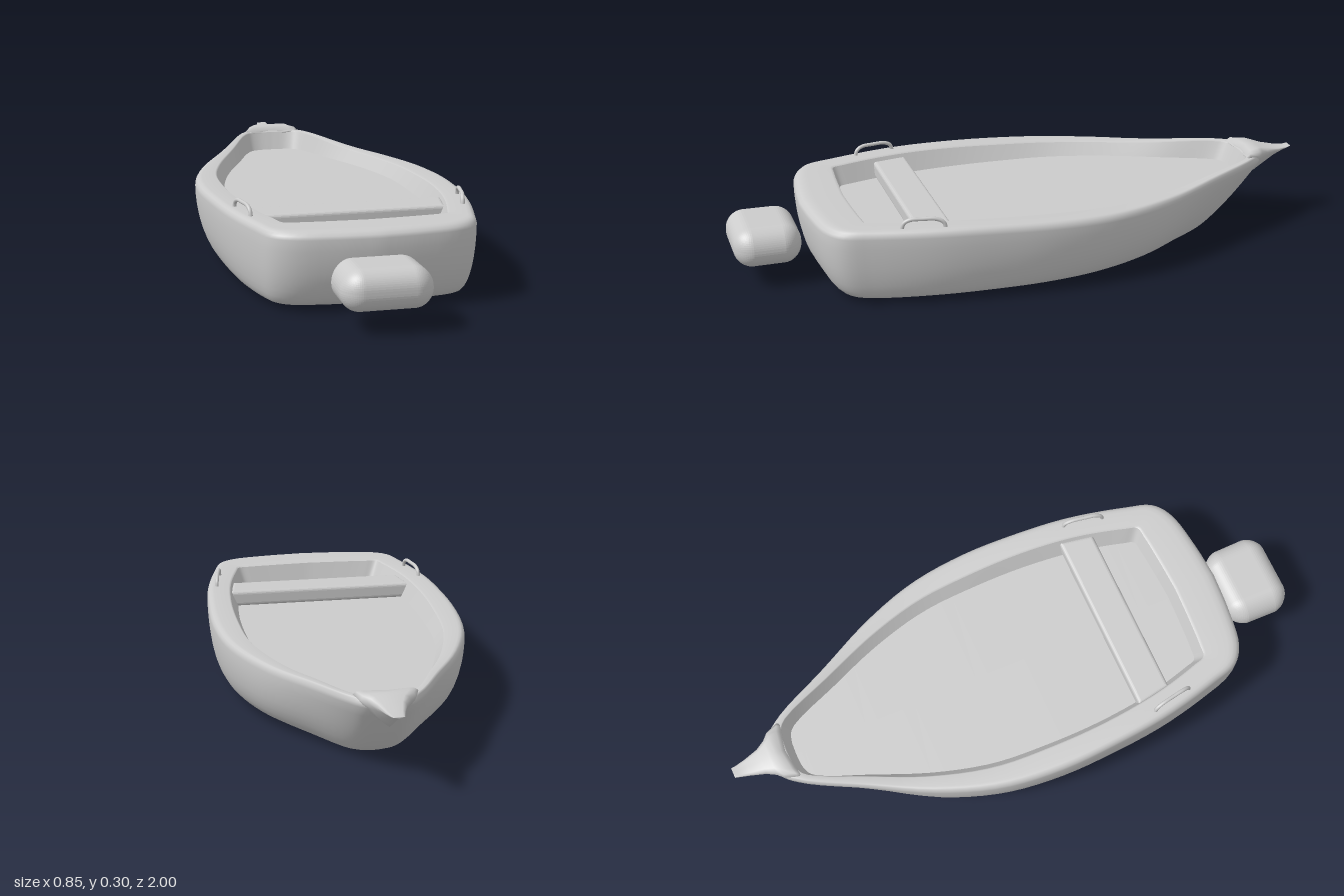
import * as THREE from 'three';
import { RoundedBoxGeometry } from 'three/addons/geometries/RoundedBoxGeometry.js';

const material = new THREE.MeshStandardMaterial({ color: 0xcccccc, side: THREE.DoubleSide });
const HALF = 56; // samples per half outline

function add(group, geometry, name) {
  const mesh = new THREE.Mesh(geometry, material);
  mesh.name = name;
  group.add(mesh);
}

// Half outline [x, z] from bow to stern, mirrored into a closed ring
function outline(points) {
  const curve = new THREE.CatmullRomCurve3(points.map(([x, z]) => new THREE.Vector3(x, 0, z)), false, 'centripetal');
  const right = [];
  for (let i = 0; i <= HALF; i++) right.push(curve.getPoint(i / HALF));
  const left = right.slice(1, -1).reverse().map((p) => new THREE.Vector3(-p.x, 0, p.z));
  return [...right, ...left];
}

// Skin between rings of equal point count
function loft(rings) {
  const n = rings[0].length;
  const index = [];
  for (let r = 0; r < rings.length - 1; r++) {
    for (let i = 0; i < n; i++) {
      const a = r * n + i, b = r * n + (i + 1) % n;
      index.push(a, a + n, b, b, a + n, b + n);
    }
  }
  const g = new THREE.BufferGeometry().setFromPoints(rings.flat());
  g.setIndex(index);
  g.computeVertexNormals();
  return g;
}

const bottom = outline([[0, -0.64], [0.045, -0.635], [0.085, -0.605], [0.17, -0.46], [0.265, -0.28], [0.32, -0.12], [0.345, 0.04],
  [0.35, 0.2], [0.34, 0.4], [0.31, 0.57], [0.285, 0.63], [0.24, 0.66], [0.12, 0.67], [0, 0.675]]);
const outer = outline([[0, -0.87], [0.065, -0.86], [0.12, -0.8], [0.22, -0.61], [0.33, -0.4], [0.4, -0.2], [0.425, 0],
  [0.42, 0.2], [0.4, 0.4], [0.355, 0.6], [0.325, 0.69], [0.265, 0.735], [0.13, 0.76], [0, 0.77]]);
const inner = outline([[0, -0.81], [0.06, -0.805], [0.098, -0.785], [0.185, -0.6], [0.27, -0.4], [0.325, -0.2], [0.34, 0],
  [0.338, 0.2], [0.315, 0.4], [0.275, 0.56], [0.26, 0.6], [0.22, 0.607], [0.11, 0.615], [0, 0.62]]);

// Sheer line: level aft, dipping ahead of midships, rising at the bow
const rimY = (z) => 0.265 - 0.02 * THREE.MathUtils.smoothstep(-z, -0.4, 0.35) + 0.02 * THREE.MathUtils.smoothstep(-z, 0.45, 0.82);
const CHINE = 0.016, FLOOR = 0.197;

function buildHull() {
  const hull = new THREE.Group();
  hull.name = 'hull';

  // Shallow curved bottom, from the keel line out to the chine
  const bottomRings = [0, 0.3, 0.6, 0.85, 1].map((k) => bottom.map((p) =>
    new THREE.Vector3(p.x * k, 0.002 + (CHINE - 0.002) * k * k, p.z * (0.94 + 0.06 * k))));
  add(hull, loft(bottomRings), 'hullBottom');

  // Rounded sides; the blunt bow rakes forward more evenly
  const rings = [];
  for (const u of [0, 0.03, 0.08, 0.15, 0.25, 0.38, 0.52, 0.68, 0.84, 1]) {
    rings.push(bottom.map((b, i) => {
      const o = outer[i];
      const bow = THREE.MathUtils.smoothstep(-o.z, 0.35, 0.85);
      const f = THREE.MathUtils.lerp(Math.sqrt(1 - (1 - u) ** 2), u ** 0.75, bow);
      const p = b.clone().lerp(o, f);
      p.y = CHINE + (rimY(o.z) - 0.025 - CHINE) * u;
      return p;
    }));
  }
  // Rounded gunwale
  for (const [t, drop] of [[0.03, 0.014], [0.1, 0.005], [0.2, 0.001], [0.32, 0], [0.93, 0], [1, 0.005]]) {
    rings.push(outer.map((o, i) => {
      const p = o.clone().lerp(inner[i], t);
      p.y = rimY(o.z) - drop;
      return p;
    }));
  }
  add(hull, loft(rings), 'hullSides');

  // Inner wall and floor
  const floorEdge = inner.map((p) => new THREE.Vector3(p.x * 0.92, FLOOR, p.z * 0.97));
  add(hull, loft([rings[rings.length - 1], floorEdge]), 'innerWall');
  add(hull, loft([floorEdge, floorEdge.map((p) => new THREE.Vector3(0, FLOOR, p.z))]), 'floor');
  return hull;
}

// Beak-like stem cap: sections of [z, half width, top, bottom]
function buildBowCap() {
  const sections = [[-0.815, 0.098, 0.268, 0.24], [-0.828, 0.1, 0.282, 0.21], [-0.85, 0.085, 0.283, 0.18], [-0.87, 0.064, 0.28, 0.18],
    [-0.9, 0.046, 0.271, 0.2], [-0.95, 0.03, 0.262, 0.232], [-0.985, 0.021, 0.26, 0.25], [-1, 0.018, 0.263, 0.256]];
  const rings = sections.map(([z, w, top, bot]) => {
    const h = top - bot;
    const side = [[0, bot], [w * 0.5, bot + h * 0.3], [w * 0.88, bot + h * 0.62], [w, bot + h * 0.8], [w * 0.9, top - h * 0.07], [w * 0.7, top], [0, top]];
    const mirrored = side.slice(1, -1).reverse().map(([x, y]) => [-x, y]);
    // The aft edge curves back along the gunwale
    return [...side, ...mirrored].map(([x, y]) => new THREE.Vector3(x, y, z + (z > -0.84 ? 2 * x * x : 0)));
  });
  const close = (ring) => ring.map((p) => new THREE.Vector3(0, (ring[0].y + ring[6].y) / 2, ring[0].z));
  return loft([close(rings[0]), ...rings, close(rings[rings.length - 1])]);
}

// Seat plank just below the gunwale, tapering aft with the hull
function buildBench() {
  const s = new THREE.Shape();
  s.moveTo(-0.312, -0.342);
  s.lineTo(0.312, -0.342);
  s.lineTo(0.294, -0.438);
  s.lineTo(-0.294, -0.438);
  s.closePath();
  const g = new THREE.ExtrudeGeometry(s, { depth: 0.03, bevelThickness: 0.012, bevelSize: 0.012, bevelSegments: 4 });
  g.rotateX(-Math.PI / 2);
  g.translate(0, 0.208, 0);
  return g;
}

function buildMotor() {
  const g = new RoundedBoxGeometry(0.29, 0.13, 0.225, 8, 0.06);
  const p = g.attributes.position;
  // Bulging casing, narrower toward the transom and the top
  for (let i = 0; i < p.count; i++) {
    const along = p.getZ(i) / 0.1125;
    const up = Math.max(0, p.getY(i)) / 0.065;
    p.setX(i, p.getX(i) * (1 - (along < 0 ? 0.14 : 0.08) * along * along - 0.06 * up));
  }
  g.computeVertexNormals();
  g.translate(-0.03, 0.137, 0.8875);
  return g;
}

function buildHandle(side) {
  const path = [[0.371, 0.25, 0.365], [0.369, 0.28, 0.373], [0.365, 0.292, 0.395], [0.357, 0.294, 0.44],
    [0.35, 0.292, 0.48], [0.346, 0.28, 0.498], [0.344, 0.25, 0.506]].map(([x, y, z]) => new THREE.Vector3(side * x, y, z));
  return new THREE.TubeGeometry(new THREE.CatmullRomCurve3(path), 40, 0.0065, 10);
}

export function createModel() {
  const boat = new THREE.Group();
  boat.name = 'boat';
  boat.add(buildHull());
  add(boat, buildBowCap(), 'bowCap');
  add(boat, buildBench(), 'bench');
  add(boat, buildMotor(), 'outboardMotor');
  add(boat, buildHandle(1), 'leftHandle');
  add(boat, buildHandle(-1), 'rightHandle');
  return boat;
}
